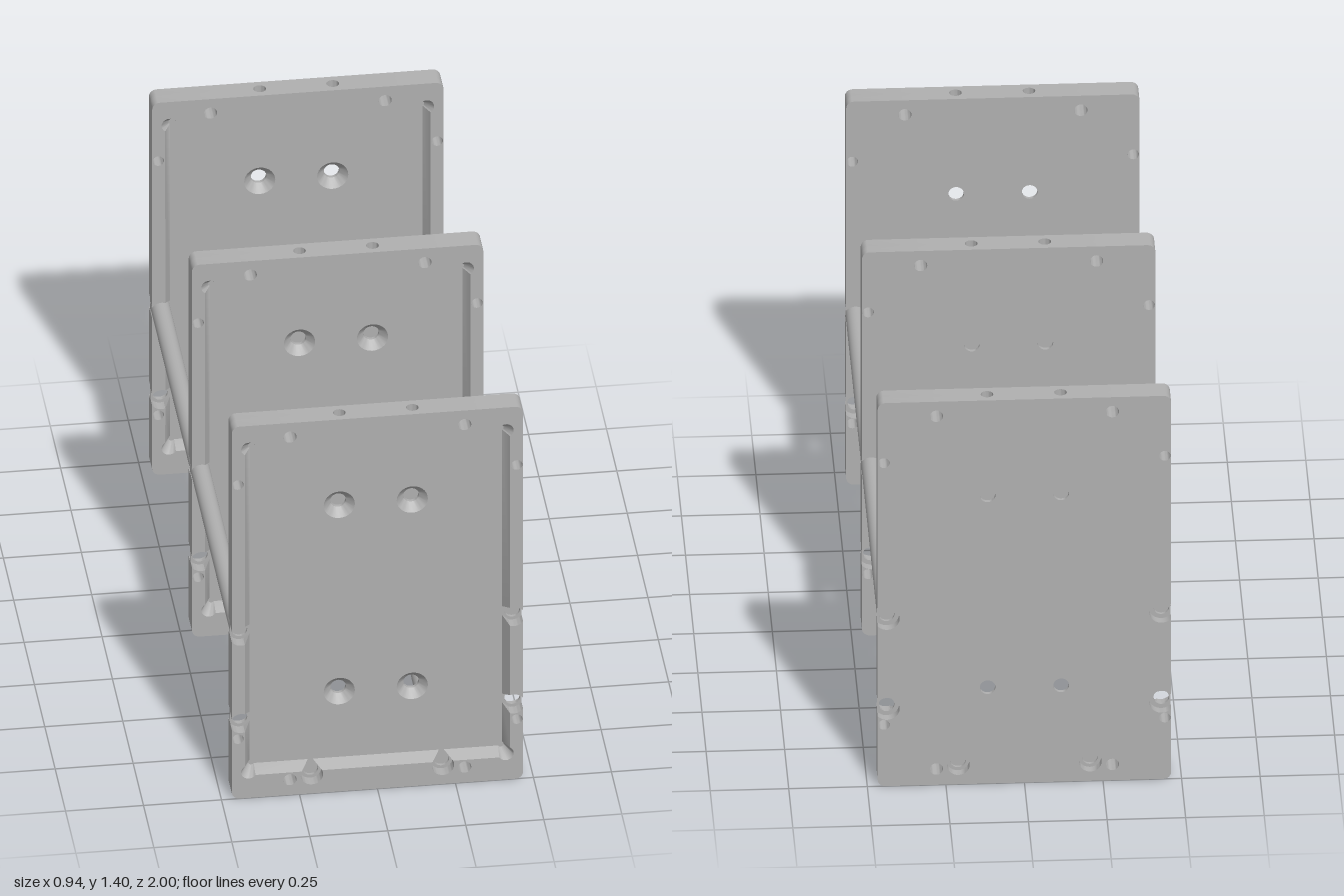
import * as THREE from 'three';
import { mergeGeometries, toCreasedNormals } from 'three/addons/utils/BufferGeometryUtils.js';

const W = 0.467, H = 1.405, T = 0.04;          // half width, height, half thickness of a plate
const SIDE_X = 0.437, UP = 0.613, LOW = 0.283; // side rod sockets
const BOT_X = 0.21, BOT_Y = 0.07;              // bottom rod sockets
const SOCKET = 0.036, BACK_SOCKET = 0.04, ROD = 0.031;
const A = 33.6, B = 109.5;                     // angles where a socket meets the edge and the tray wall

const steel = new THREE.MeshStandardMaterial({ color: 0xb0b0b0, side: THREE.DoubleSide });
steel.name = 'plain grey';

// points on an arc, in degrees
function arc(cx, cy, r, a0, a1, n = 12) {
  return Array.from({ length: n + 1 }, (_, i) => {
    const a = THREE.MathUtils.degToRad(a0 + (a1 - a0) * i / n);
    return [cx + r * Math.cos(a), cy + r * Math.sin(a)];
  });
}
const flip = pts => pts.map(([x, y]) => [-x, y]);
const mirror = pts => [...pts, ...flip(pts).reverse()];
const bothSides = list => list.flatMap(([x, y, r]) => [[x, y, r], [-x, y, r]]);

const drills = bothSides([[0.28, 1.352, 0.021], [0.447, 1.185, 0.018], [0.447, 0.225, 0.018], [0.28, 0.058, 0.021]]);
const sinks = bothSides([[0.117, 1.057, 0.05], [0.117, 0.353, 0.05]]);
const bottomSockets = r => bothSides([[BOT_X, BOT_Y, r]]);
const sideSockets = r => bothSides([[SIDE_X, UP, r], [SIDE_X, LOW, r]]);

// flat layer from z0 to z1 with round holes
function layer(pts, holes, z0, z1) {
  const shape = new THREE.Shape(pts.map(p => new THREE.Vector2(...p)));
  for (const [x, y, r] of holes) {
    const h = new THREE.Path();
    h.absarc(x, y, r, 0, Math.PI * 2, true);
    shape.holes.push(h);
  }
  const g = new THREE.ExtrudeGeometry(shape, { depth: z1 - z0, bevelEnabled: false, curveSegments: 14 });
  g.translate(0, 0, z0);
  return toCreasedNormals(g, 0.6);
}

// sloping tray wall between a front line and a floor line, closed at both ends
function slope(front, floor) {
  const pos = [], n = front.length;
  const f = i => [...front[i], T], b = i => [...floor[i], 0];
  for (let i = 0; i < n - 1; i++) pos.push(...f(i), ...b(i), ...b(i + 1), ...f(i), ...b(i + 1), ...f(i + 1));
  for (const i of [0, n - 1]) pos.push(...f(i), ...b(i), ...front[i], 0);
  const g = new THREE.BufferGeometry();
  g.setAttribute('position', new THREE.Float32BufferAttribute(pos, 3));
  return toCreasedNormals(g, 0.6);
}

// outline pieces, right half
const topEdge = [[0.2, 1.355], [0.2, H], ...arc(W - 0.025, H - 0.025, 0.025, 90, 0, 6)];
const bottomEdge = arc(W - 0.025, 0.025, 0.025, 0, -90, 6);
const topCorner = arc(0.412, 1.317, 0.025, -58, 148), topCornerFloor = arc(0.4, 1.305, 0.01, -58, 148);
const lowCorner = arc(0.412, 0.098, 0.025, 58, -148), lowCornerFloor = arc(0.4, 0.11, 0.01, 58, -148);

function plateGeometries() {
  const web = mirror([...topEdge, ...bottomEdge]);
  const back = mirror([...topEdge,
    ...arc(SIDE_X, UP, BACK_SOCKET, 41.4, 318.6, 20),
    ...arc(SIDE_X, LOW, BACK_SOCKET, 41.4, 318.6, 20), ...bottomEdge]);

  // raised rim, split by the side sockets
  const rimTop = mirror([...topEdge, ...arc(SIDE_X, UP, SOCKET, A, B), ...topCorner]);
  const rimSide = [...arc(SIDE_X, UP, SOCKET, -A, -B), ...arc(SIDE_X, LOW, SOCKET, B, A)];
  const rimBottom = mirror([...bottomEdge.slice().reverse(),
    ...arc(SIDE_X, LOW, SOCKET, -A, -B), ...lowCorner,
    ...arc(BOT_X, BOT_Y, SOCKET, 24.6, -204.6, 24)]);
  const above = drills.filter(h => h[1] > 1), below = drills.filter(h => h[1] < 1);
  const rim = mergeGeometries([
    layer(rimTop, above, 0, T), layer(rimSide, [], 0, T),
    layer(flip(rimSide), [], 0, T), layer(rimBottom, below, 0, T)]);

  // tray walls
  const sideFront = [[0.425, UP - 0.034], [0.425, LOW + 0.034]];
  const sideFloor = [[0.405, UP - 0.0165], [0.405, LOW + 0.0165]];
  const lowFront = [[0.425, LOW - 0.034], ...lowCorner, [BOT_X + 0.0327, 0.085]];
  const lowFloor = [[0.405, LOW - 0.0165], ...lowCornerFloor, [BOT_X + 0.008, 0.105]];
  const walls = mergeGeometries([
    slope(mirror([[0.425, UP + 0.034], ...topCorner]), mirror([[0.405, UP + 0.0165], ...topCornerFloor])),
    slope(flip(sideFront).reverse(), flip(sideFloor).reverse()), slope(sideFront.slice().reverse(), sideFloor.slice().reverse()),
    slope(flip(lowFront), flip(lowFloor)),
    slope(lowFront.slice().reverse(), lowFloor.slice().reverse()),
    slope(mirror([[BOT_X - 0.0327, 0.085]]), mirror([[BOT_X - 0.008, 0.105]]))]);

  // drilled block in the top edge
  const block = layer([[-0.2, -T], [0.2, -T], [0.2, T], [-0.2, T]], bothSides([[0.117, 0, 0.02]]), 0, 0.05);
  block.rotateX(-Math.PI / 2).translate(0, 1.355, 0);

  // countersunk screw holes
  const profile = [[0.05, 0], [0.025, -0.028], [0.025, -T], [0.05, -T]].map(p => new THREE.Vector2(...p));
  const screws = mergeGeometries(sinks.map(([x, y]) =>
    toCreasedNormals(new THREE.LatheGeometry(profile, 28).rotateX(Math.PI / 2), 0.5).translate(x, y, 0)));

  return {
    trayFloor: layer(web, [...drills, ...sinks, ...sideSockets(0.025), ...bottomSockets(0.025)], -0.01, 0),
    backLayer: layer(back, [...drills, ...sinks, ...bottomSockets(SOCKET)], -T, -0.01),
    rim, trayWalls: walls, topEdgeBlock: block, screwHoles: screws,
  };
}

export function createModel() {
  const model = new THREE.Group();
  model.name = 'plateRack';
  const parts = plateGeometries();

  // three identical plates
  [['frontPlate', 0.96], ['middlePlate', 0], ['backPlate', -0.96]].forEach(([name, z]) => {
    const plate = new THREE.Group();
    plate.name = name;
    plate.position.z = z;
    for (const [part, geometry] of Object.entries(parts)) {
      const mesh = new THREE.Mesh(geometry, steel);
      mesh.name = part;
      plate.add(mesh);
    }
    model.add(plate);
  });

  // rods seated in the plate sockets
  const rodGeometry = new THREE.CylinderGeometry(ROD, ROD, 0.95, 28).rotateX(Math.PI / 2);
  for (const [x, y, name] of [[SIDE_X, UP, 'sideRod'], [BOT_X, BOT_Y, 'bottomRod']])
    for (const s of [1, -1])
      for (const z of [0.475, -0.485]) {
        const rod = new THREE.Mesh(rodGeometry, steel);
        rod.name = name;
        rod.position.set(s * x, y, z);
        model.add(rod);
      }
  return model;
}
